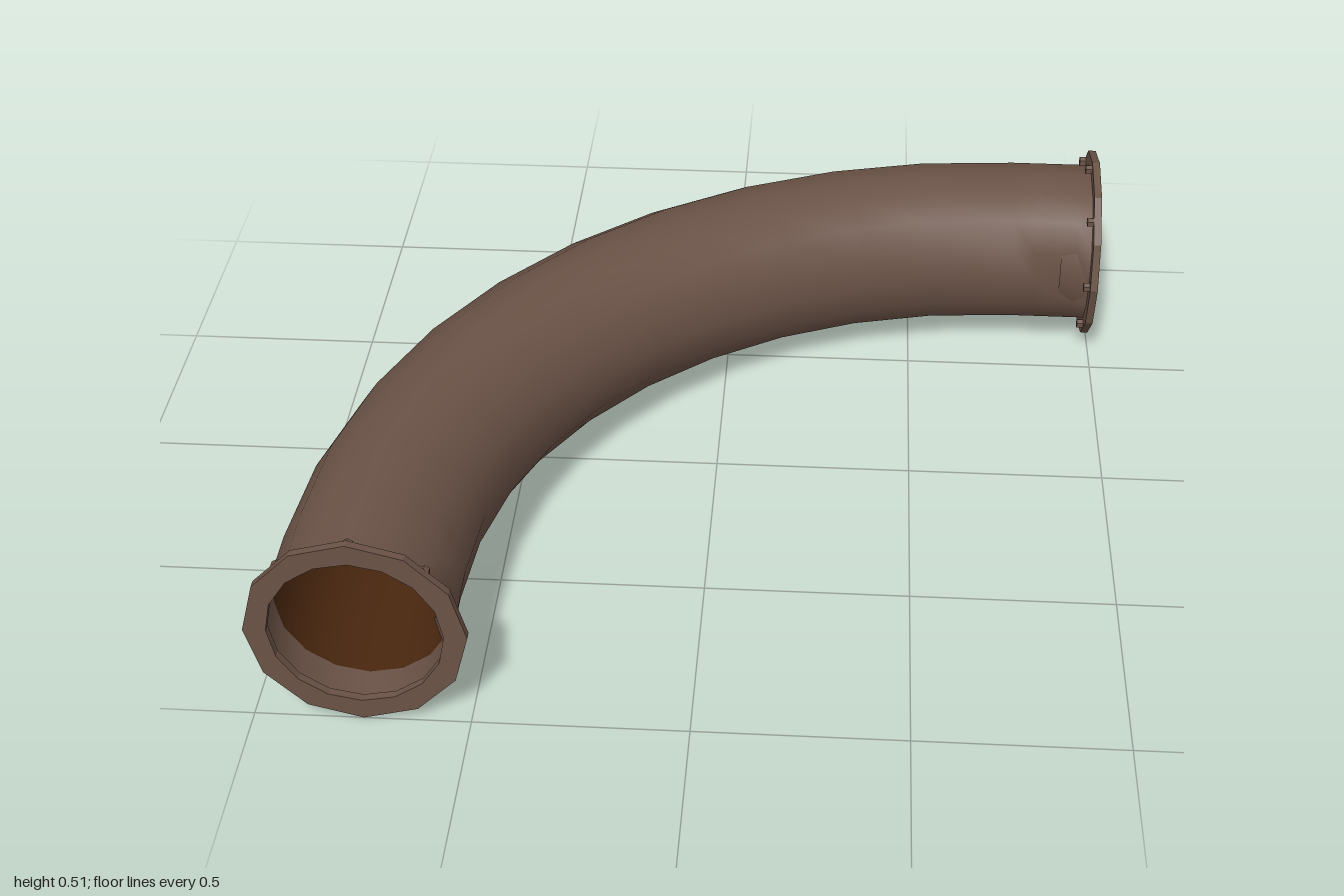
import * as THREE from 'three';

const BEND = 0.77;        // x and z of the bend centre
const RADIUS = 1.517;     // centreline radius of the bend
const HEIGHT = 0.258;     // centreline height
const SIDES = 16;

// Skin a pipe through stations of { angle, run }, run being the straight length past the bend
function sweep(stations, radius, inward = false, dent = () => 0) {
  const points = [], index = [];
  stations.forEach(({ angle, run }) => {
    const out = new THREE.Vector3(-Math.sin(angle), 0, -Math.cos(angle));
    const along = angle < Math.PI / 4 ? new THREE.Vector3(1, 0, 0) : new THREE.Vector3(0, 0, 1);
    const centre = new THREE.Vector3(BEND, HEIGHT, BEND).addScaledVector(out, RADIUS).addScaledVector(along, run);
    for (let j = 0; j < SIDES; j++) {
      const a = (j / SIDES) * Math.PI * 2;
      const r = radius - dent(run, j);
      const p = centre.clone().addScaledVector(out, r * Math.cos(a));
      points.push(p.x, p.y + r * Math.sin(a), p.z);
    }
  });
  for (let i = 0; i < stations.length - 1; i++) {
    for (let j = 0; j < SIDES; j++) {
      const a = i * SIDES + j, b = i * SIDES + (j + 1) % SIDES;
      const c = a + SIDES, d = b + SIDES;
      if (inward) index.push(a, b, c, b, d, c);
      else index.push(a, c, b, b, c, d);
    }
  }
  const geometry = new THREE.BufferGeometry();
  geometry.setAttribute('position', new THREE.Float32BufferAttribute(points, 3));
  geometry.setIndex(index);
  geometry.computeVertexNormals();
  return geometry;
}

// Ten-step quarter bend with straight runs at both ends
function elbow(runs) {
  const stations = runs.map(run => ({ angle: 0, run }));
  for (let i = 0; i <= 10; i++) stations.push({ angle: (i / 10) * Math.PI / 2, run: 0 });
  [...runs].reverse().forEach(run => stations.push({ angle: Math.PI / 2, run }));
  return stations;
}

function polygon(target, radius, sides) {
  for (let i = 0; i < sides; i++) {
    const a = (i / sides) * Math.PI * 2;
    target[i ? 'lineTo' : 'moveTo'](radius * Math.cos(a), radius * Math.sin(a));
  }
  target.closePath();
  return target;
}

export function createModel() {
  const brown = new THREE.MeshStandardMaterial({ color: 0x6a5246, side: THREE.DoubleSide });
  brown.name = 'brown metal';
  const rust = new THREE.MeshStandardMaterial({ color: 0x4a270f });
  rust.name = 'rusty inside';

  const model = new THREE.Group();
  model.name = 'pipeElbow';
  const add = (parent, name, geometry, material) => {
    const mesh = new THREE.Mesh(geometry, material);
    mesh.name = name;
    parent.add(mesh);
    return mesh;
  };

  // Outer wall, slightly dented on the inner side of the bend near each flange
  const dent = (run, j) => {
    if (run !== 0.17) return 0;
    const off = Math.abs(j - SIDES / 2);
    return off === 0 ? 0.045 : off === 1 ? 0.012 : 0;
  };
  add(model, 'pipeWall', sweep(elbow([0.215, 0.17, 0.06]), 0.215, false, dent), brown);

  // Rusty lining with a plain neck at each mouth
  add(model, 'lining', sweep(elbow([0.13]), 0.203, true), rust);
  [0, Math.PI / 2].forEach(angle => {
    const stations = [{ angle, run: 0.22 }, { angle, run: 0.13 }];
    if (angle) stations.reverse();
    add(model, 'neck', sweep(stations, 0.203, true), brown);
  });

  // Flange ring with eight bolts on its pipe side
  const ring = polygon(new THREE.Shape(), 0.253, 12);
  ring.holes.push(polygon(new THREE.Path(), 0.2, SIDES));
  const ringGeometry = new THREE.ExtrudeGeometry(ring, { depth: 0.02, bevelEnabled: false });
  ringGeometry.translate(0, 0, -0.02);
  const boltGeometry = new THREE.CylinderGeometry(0.013, 0.013, 0.018, 6).toNonIndexed();
  boltGeometry.computeVertexNormals();
  boltGeometry.rotateX(Math.PI / 2);

  const side = BEND - RADIUS;
  [['frontEnd', side, 1, 0], ['leftEnd', 1, side, Math.PI / 2]].forEach(([name, x, z, turn]) => {
    const end = new THREE.Group();
    end.name = name;
    end.position.set(x, HEIGHT, z);
    end.rotation.y = turn;
    add(end, 'flange', ringGeometry, brown);
    for (let i = 0; i < 8; i++) {
      const a = (i / 8) * Math.PI * 2;
      add(end, 'bolt', boltGeometry, brown).position.set(0.232 * Math.cos(a), 0.232 * Math.sin(a), -0.028);
    }
    model.add(end);
  });
  return model;
}
